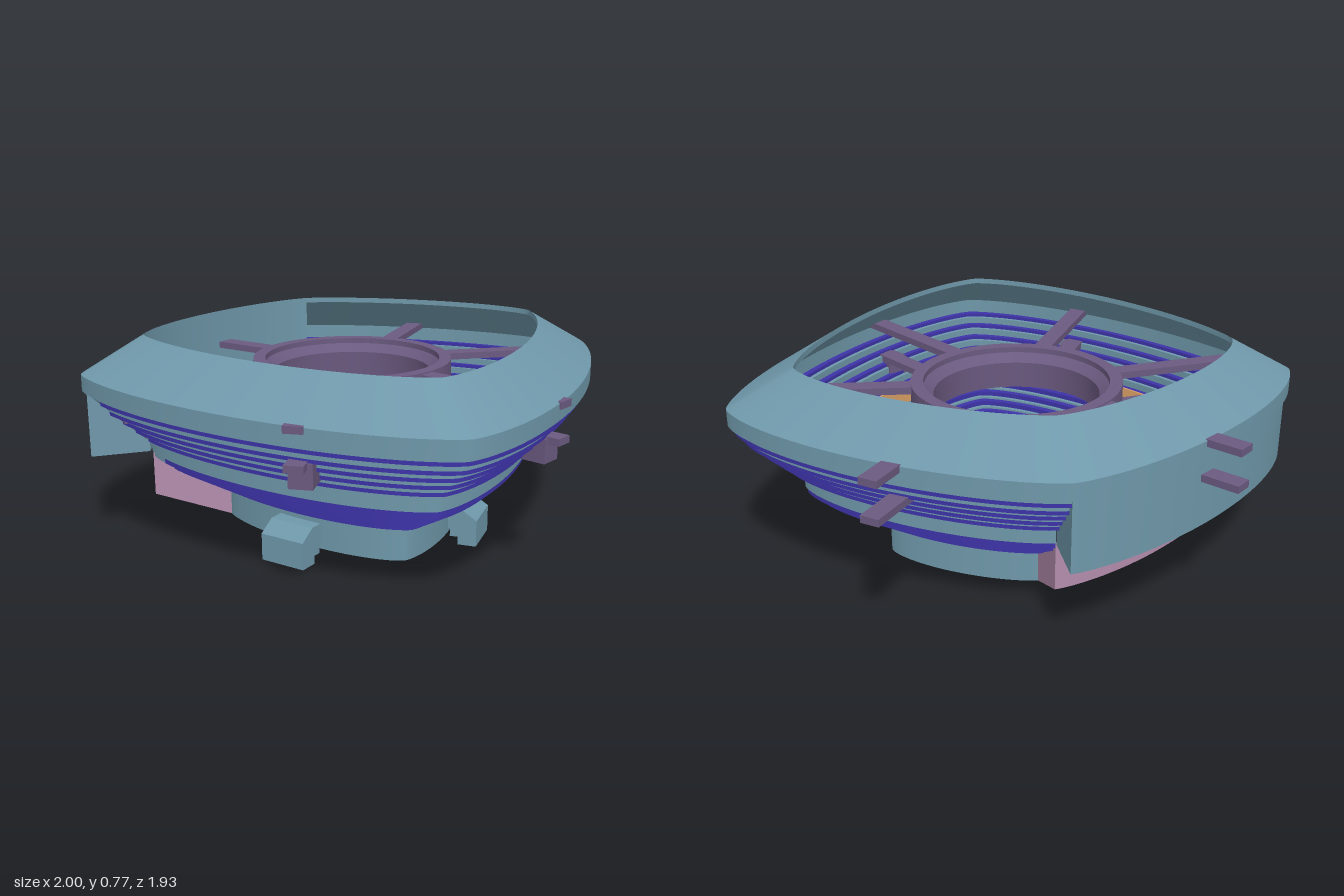
import * as THREE from 'three';
import { toCreasedNormals } from 'three/addons/utils/BufferGeometryUtils.js';

const mat = (color) => new THREE.MeshStandardMaterial({ color });
const RAD = Math.PI / 180;

// Point of the rounded diamond plan whose half width is a
function planPoint(a, y, deg) {
  const c = Math.cos(deg * RAD), s = Math.sin(deg * RAD);
  const soft = (v) => Math.sign(v) * Math.pow(Math.abs(v), 2 / 1.4);
  const z0 = -0.21, front = a - 0.04 - z0, back = 0.52 + 0.85 * (a - 0.47) + z0;
  return [a * soft(c), y, z0 + soft(s) * (s > 0 ? front : back)];
}

// Sweep a counter-clockwise (half width, height) section around the plan
function sweep(section, from = 0, to = 360) {
  const steps = Math.max(4, Math.round((to - from) / 3)), n = section.length;
  const pos = [];
  const at = (i, j) => planPoint(...section[i % n], from + ((to - from) * j) / steps);
  for (let j = 0; j < steps; j++) {
    for (let i = 0; i < n; i++) {
      const a = at(i, j), b = at(i + 1, j), c = at(i + 1, j + 1), d = at(i, j + 1);
      pos.push(...a, ...b, ...d, ...b, ...c, ...d);
    }
  }
  if (to - from < 360) {
    const contour = section.map(([a, y]) => new THREE.Vector2(a, y));
    for (const [p, q, r] of THREE.ShapeUtils.triangulateShape(contour, [])) {
      pos.push(...at(r, 0), ...at(q, 0), ...at(p, 0));
      pos.push(...at(p, steps), ...at(q, steps), ...at(r, steps));
    }
  }
  const g = new THREE.BufferGeometry();
  g.setAttribute('position', new THREE.Float32BufferAttribute(pos, 3));
  return toCreasedNormals(g, 0.45);
}

const rect = (a0, a1, y0, y1) => [[a0, y0], [a1, y0], [a1, y1], [a0, y1]];

export function createModel() {
  const model = new THREE.Group();
  const teal = mat(0x6f98aa), blue = mat(0x3d33a8), pink = mat(0xb48dae);
  const purple = mat(0x6b5a80), yellow = mat(0xd8d000), orange = mat(0xe0a468);
  const add = (name, geometry, material, parent = model) => {
    const m = new THREE.Mesh(geometry, material);
    m.name = name;
    parent.add(m);
    return m;
  };

  // Seating covers three sides; the back right side stays open
  const START = -90, SEAT_END = 168, END = 180;

  // Stepped tiers of alternating seat rows and walkways
  function tier(name, rows, a0, a1, y0, y1, seatShare) {
    const g = new THREE.Group();
    g.name = name;
    const w = (a1 - a0) / rows, h = (y1 - y0) / rows;
    for (let i = 0; i < rows; i++) {
      const a = a0 + i * w, y = y0 + i * h, out = Math.min(a + w * 1.3, a1);
      add('seatRow', sweep(rect(a, out, y, y + h * seatShare), START, SEAT_END), blue, g);
      add('walkway', sweep(rect(a + w * 0.6, out, y + h * seatShare, y + h), START, SEAT_END), teal, g);
    }
    // Plain end section beside the open side
    const t = 0.05;
    add('tierEnd', sweep([[a0, y0], [a0 + t, y0], [a1, y1 - t * 0.5], [a1, y1], [a0, y0 + t * 0.5]],
      SEAT_END, END), teal, g);
    model.add(g);
  }
  tier('lowerTier', 6, 0.465, 0.755, 0.18, 0.335, 0.7);
  tier('upperTier', 5, 0.755, 0.98, 0.4, 0.59, 0.35);

  // Base ring, band between the tiers and their inner linings
  add('baseRing', sweep(rect(0.455, 0.472, 0.045, 0.185), START, END), teal);
  add('baseLining', sweep(rect(0.45, 0.456, 0.1, 0.2), START, END), orange);
  add('middleBand', sweep(rect(0.745, 0.762, 0.33, 0.405), START, END), teal);
  add('middleLining', sweep(rect(0.738, 0.746, 0.33, 0.42), START, END), orange);

  // Sloping roof all around
  add('roof', sweep([[0.96, 0.58], [1, 0.58], [1, 0.64], [0.77, 0.77], [0.77, 0.75], [0.96, 0.62]]), teal);

  // Open side: high wall, sloping platform and round drums
  add('backWall', sweep([[0.77, 0.33], [0.985, 0.33], [0.985, 0.62], [0.77, 0.75]], END, 270), teal);
  add('platform', sweep([[0.47, 0.045], [0.76, 0.16], [0.76, 0.33], [0.47, 0.18]], END, 270), pink);
  for (const [x, z] of [[-0.54, -0.405], [-0.2, -0.68]]) {
    const g = toCreasedNormals(new THREE.CylinderGeometry(0.125, 0.125, 0.09, 40), 0.5);
    add('drum', g, yellow).position.set(x, 0.315, z);
  }

  // Central hoop hung over the pitch
  const hoop = [[0.3, 0.5], [0.345, 0.5], [0.345, 0.55], [0.375, 0.58], [0.375, 0.65],
    [0.33, 0.65], [0.33, 0.63], [0.295, 0.6], [0.3, 0.5]].map((p) => new THREE.Vector2(...p));
  add('hoop', toCreasedNormals(new THREE.LatheGeometry(hoop, 64), 0.5), purple).position.z = -0.145;

  // Beam of given width and height between two plan points
  function beam(name, [x0, z0], [x1, z1], y0, y1, width, material) {
    const dx = x1 - x0, dz = z1 - z0;
    const m = add(name, new THREE.BoxGeometry(Math.hypot(dx, dz), y1 - y0, width), material);
    m.position.set((x0 + x1) / 2, (y0 + y1) / 2, (z0 + z1) / 2);
    m.rotation.y = Math.atan2(-dz, dx);
  }

  const footSide = [[0, 0], [0.13, 0], [0.13, 0.1], [0.07, 0.14], [-0.03, 0.14], [-0.03, 0.06],
    [0.03, 0.06], [0.03, 0.03], [0.06, 0.03], [0.06, 0]].slice(1);
  for (const s of [1, -1]) {
    // Double spokes holding the hoop, poking out through the shell
    const spokes = [[[0.36, -0.12], [0.88, -0.06]], [[0.17, 0.19], [0.46, 0.68]], [[0.23, -0.4], [0.58, -0.84]]];
    for (const [a, b] of spokes) {
      const p = [s * a[0], a[1]], q = [s * b[0], b[1]];
      beam('upperSpoke', p, q, 0.62, 0.645, 0.065, purple);
      beam('lowerSpoke', p, q, 0.495, 0.52, 0.065, purple);
    }
    // Brackets under the front spokes
    beam('bracket', [s * 0.36, 0.53], [s * 0.43, 0.65], 0.43, 0.515, 0.08, purple);

    // Stepped entrance feet
    const shape = new THREE.Shape(footSide.map((p) => new THREE.Vector2(...p)));
    const g = new THREE.ExtrudeGeometry(shape, { depth: 0.18, bevelEnabled: false });
    g.translate(0, 0, -0.09);
    const foot = add('foot', g, teal);
    foot.position.set(s * 0.285, 0, 0.15);
    foot.rotation.y = Math.atan2(-0.62, s * 0.78);
  }
  return model;
}
